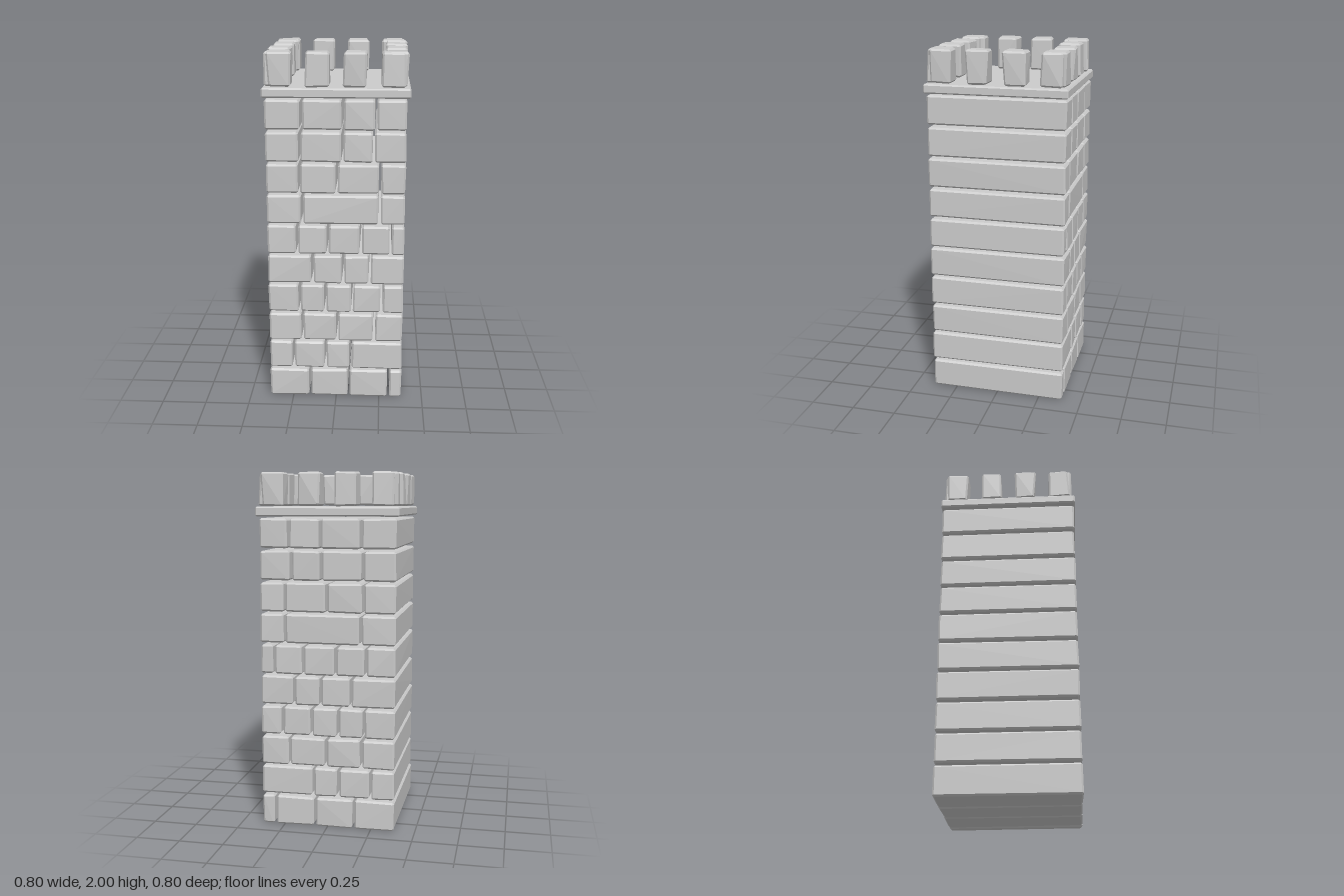
import * as THREE from 'three';
import { ConvexGeometry } from 'three/addons/geometries/ConvexGeometry.js';

const material = new THREE.MeshStandardMaterial({ color: 0xcccccc, flatShading: true });

// Seeded noise in -1..1
let seed = 7;
function noise() {
  seed = (seed * 16807) % 2147483647;
  return (seed / 2147483647) * 2 - 1;
}

// Chamfered block between two corners; each corner is nudged to look hand cut
function block(name, min, max, bevel, jitter) {
  const points = [];
  for (const sx of [0, 1]) for (const sy of [0, 1]) for (const sz of [0, 1]) {
    const side = [sx, sy, sz];
    const corner = side.map((s, i) => {
      const inset = Math.abs(noise()) * jitter[i];
      return s ? max[i] - inset : min[i] + inset;
    });
    // One point on each of the three faces that meet here
    for (let face = 0; face < 3; face++) {
      const p = corner.map((c, i) => (i === face ? c : c + (side[i] ? -bevel : bevel)));
      points.push(new THREE.Vector3(...p));
    }
  }
  const mesh = new THREE.Mesh(new ConvexGeometry(points), material);
  mesh.name = name;
  return mesh;
}

// Joint centres between the stones of each course, bottom to top
const JOINTS = [
  [-0.152, 0.072, 0.303],
  [-0.247, -0.062, 0.082],
  [-0.193, 0.007, 0.218],
  [-0.208, -0.061, 0.09, 0.259],
  [-0.134, 0.038, 0.19],
  [-0.218, -0.047, 0.137, 0.304],
  [-0.188, 0.24],
  [-0.202, 0.003, 0.24],
  [-0.198, 0.034, 0.203],
  [-0.188, 0.037, 0.215],
];

export function createModel() {
  seed = 7;
  const tower = new THREE.Group();
  tower.name = 'tower';

  // Courses of long stones running from front to back
  const walls = new THREE.Group();
  walls.name = 'walls';
  const pitch = 0.1755, gap = 0.005;
  JOINTS.forEach((joints, row) => {
    const edges = [-0.39, ...joints, 0.386];
    const y = row * pitch;
    for (let i = 0; i < edges.length - 1; i++) {
      walls.add(block('stone',
        [edges[i] + gap, y + (row ? gap : 0), -0.39],
        [edges[i + 1] - gap, y + pitch - gap, 0.39],
        0.01, [0.004, 0.004, 0.006]));
    }
  });
  tower.add(walls);

  // Flat ledge that carries the battlements
  tower.add(block('ledge', [-0.398, 1.76, -0.398], [0.398, 1.812, 0.398], 0.008, [0, 0, 0]));

  // Four merlons along each side, overlapping in pairs at the corners
  const battlements = new THREE.Group();
  battlements.name = 'battlements';
  const half = 0.067, wall = 0.323;
  function merlon(x, z) {
    battlements.add(block('merlon',
      [x - half, 1.814, z - half], [x + half, 2, z + half],
      0.01, [0.012, 0.004, 0.014]));
  }
  for (const along of [-0.305, -0.102, 0.102, 0.305]) {
    for (const side of [-wall, wall]) {
      merlon(along, side);
      merlon(side, along);
    }
  }
  tower.add(battlements);

  return tower;
}
